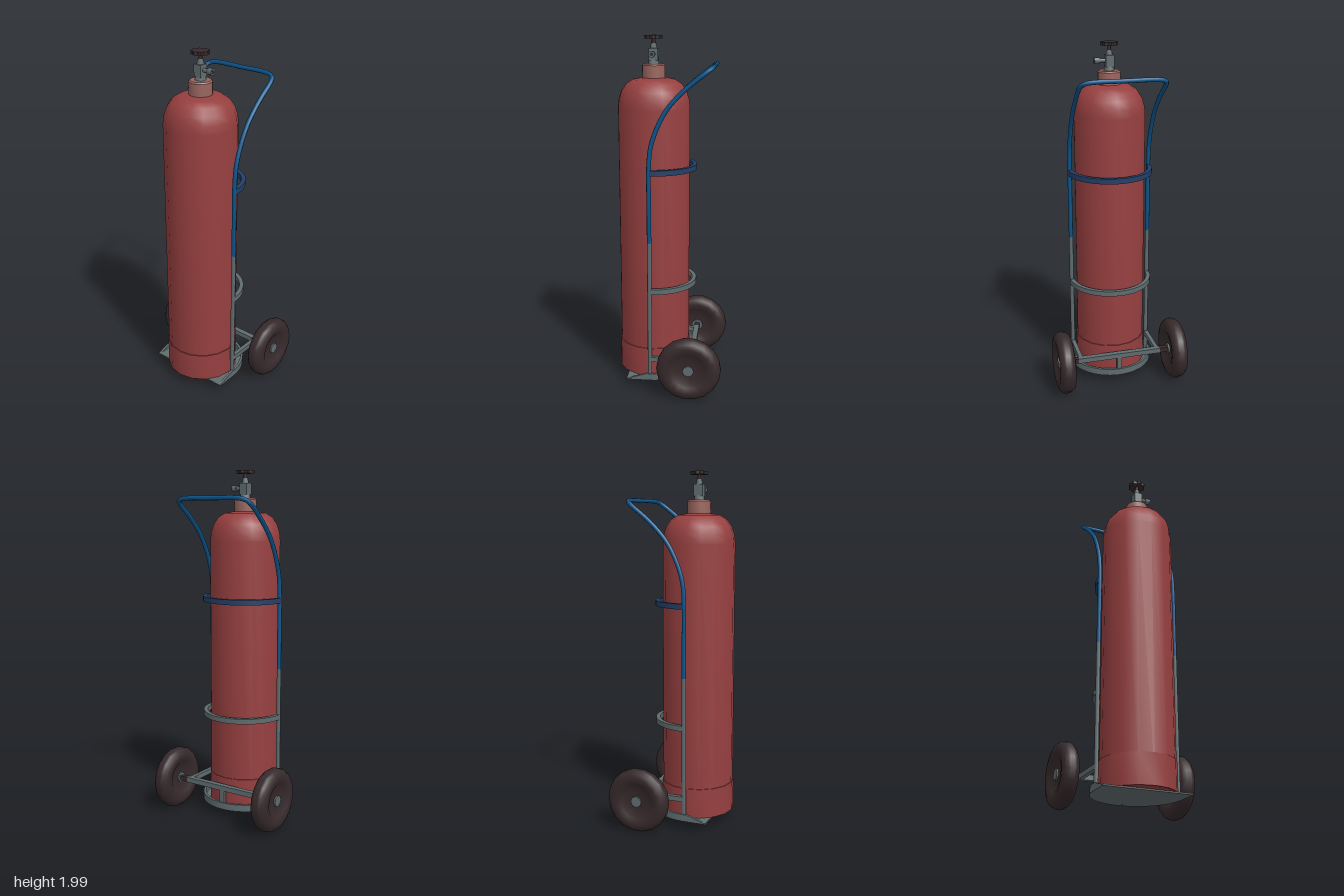
import * as THREE from 'three';
import { toCreasedNormals } from 'three/addons/utils/BufferGeometryUtils.js';

const mat = (name, color) => {
  const m = new THREE.MeshStandardMaterial({ color });
  m.name = name;
  return m;
};
const V = (x, y, z) => new THREE.Vector3(x, y, z);
const profile = (pts) => pts.map(([r, y]) => new THREE.Vector2(r, y));

export function createModel() {
  const red = mat('tank red', 0x963f3f);
  const grey = mat('frame grey', 0x606c6f);
  const blue = mat('handle blue', 0x0b5489);
  const navy = mat('band navy', 0x243f66);
  const rubber = mat('rubber dark brown', 0x36292b);
  const collarPink = mat('collar dusty pink', 0x9a665f);

  const model = new THREE.Group();
  model.name = 'gasCylinderTrolley';
  const add = (name, geometry, material, x = 0, y = 0, z = 0) => {
    const mesh = new THREE.Mesh(geometry, material);
    mesh.name = name;
    mesh.position.set(x, y, z);
    model.add(mesh);
    return mesh;
  };
  const lathe = (pts, sides, crease = 0.7) =>
    toCreasedNormals(new THREE.LatheGeometry(profile(pts), sides), crease);
  // Floor-plan shape (x, z) with its top face at y = 0
  const slab = (shape, depth) =>
    new THREE.ExtrudeGeometry(shape, { depth, bevelEnabled: false, curveSegments: 14 }).rotateX(Math.PI / 2);
  // Half ring that wraps the back of the tank
  const halfRing = (inner, outer, height) => {
    const s = new THREE.Shape();
    s.absarc(0, 0, outer, 0, -Math.PI, true);
    s.absarc(0, 0, inner, -Math.PI, 0, false);
    return toCreasedNormals(slab(s, height), 0.6);
  };

  const cz = 0.1; // tank axis

  // Tank with domed shoulder, foot sleeve and neck collar
  add('tank', lathe([
    [0, 0.07], [0.203, 0.07], [0.203, 1.61], [0.198, 1.655], [0.183, 1.7],
    [0.157, 1.738], [0.12, 1.762], [0.075, 1.77], [0, 1.772],
  ], 16), red, 0, 0, cz);
  add('footSleeve', lathe([[0.2, 0.068], [0.208, 0.068], [0.208, 0.237], [0.2, 0.237]], 16), red, 0, 0, cz);
  add('neckCollar', lathe([[0.064, 1.755], [0.064, 1.838], [0.057, 1.846], [0, 1.846]], 16), collarPink, 0, 0, cz);

  // Valve body, side outlet and lobed handwheel
  add('valveBase', new THREE.CylinderGeometry(0.026, 0.032, 0.03, 8), grey, 0, 1.857, cz);
  add('valveBody', new THREE.BoxGeometry(0.046, 0.065, 0.052), grey, 0, 1.897, cz);
  add('valveNeck', new THREE.CylinderGeometry(0.015, 0.02, 0.03, 8), grey, 0, 1.942, cz);
  add('valveStem', new THREE.CylinderGeometry(0.01, 0.01, 0.035, 8), rubber, 0, 1.968, cz);
  add('outletPipe', new THREE.CylinderGeometry(0.011, 0.011, 0.04, 10).rotateZ(-Math.PI / 2), grey, 0.04, 1.9, cz);
  add('outletNut', new THREE.CylinderGeometry(0.018, 0.018, 0.03, 10).rotateZ(-Math.PI / 2), grey, 0.07, 1.9, cz);
  add('outletOpening', new THREE.CylinderGeometry(0.01, 0.01, 0.002, 10).rotateZ(-Math.PI / 2), rubber, 0.0855, 1.9, cz);
  const lobes = new THREE.Shape();
  for (let i = 0; i < 32; i++) {
    const a = (i / 32) * Math.PI * 2;
    const r = 0.047 + 0.004 * Math.cos(8 * a);
    lobes[i ? 'lineTo' : 'moveTo'](r * Math.cos(a), r * Math.sin(a));
  }
  add('handwheel', slab(lobes, 0.018), rubber, 0, 2, cz);

  // Blue push handle: one bent tube, mirrored across x
  const hx = 0.234;
  const side = [
    [0.88, 0.1], [1.1, 0.1], [1.3, 0.1], [1.42, 0.088], [1.53, 0.05],
    [1.62, 0], [1.69, -0.06], [1.75, -0.125], [1.805, -0.195],
  ];
  const path = [
    ...side.map(([y, z]) => V(-hx, y, z)),
    V(-hx + 0.012, 1.83, -0.228), V(-hx + 0.045, 1.84, -0.24),
    V(0, 1.842, -0.243),
    V(hx - 0.045, 1.84, -0.24), V(hx - 0.012, 1.83, -0.228),
    ...side.map(([y, z]) => V(hx, y, z)).reverse(),
  ];
  add('pushHandle', new THREE.TubeGeometry(new THREE.CatmullRomCurve3(path), 90, 0.0125, 8), blue);

  // Bands around the back of the tank
  add('upperBand', halfRing(0.221, 0.245, 0.03), navy, 0, 1.291, cz);
  add('lowerBand', halfRing(0.221, 0.245, 0.03), grey, 0, 0.612, cz);

  // Toe plate with rounded back and raised rim
  const plate = new THREE.Shape();
  plate.moveTo(0.25, 0.235);
  plate.lineTo(0.25, cz);
  plate.absarc(0, cz, 0.25, 0, -Math.PI, true);
  plate.lineTo(-0.25, 0.235);
  add('toePlate', slab(plate, 0.008), grey, 0, 0.068, 0);
  add('toePlateRim', halfRing(0.235, 0.25, 0.04), grey, 0, 0.1, cz);

  // Axle carrier and its centre post
  const ay = 0.187, az = -0.132;
  add('axleBeam', new THREE.BoxGeometry(0.5, 0.03, 0.032), grey, 0, ay, az);
  add('axlePost', new THREE.BoxGeometry(0.03, 0.125, 0.022), grey, 0, 0.122, az);

  // Wheel section, symmetric about its middle
  const half = [[0.03, 0.028], [0.085, 0.028], [0.1, 0.04], [0.135, 0.0475], [0.162, 0.04], [0.176, 0.024], [0.181, 0.01]];
  const section = [...half.map(([r, x]) => [r, -x]), ...half.slice().reverse()];
  const wheelGeometry = lathe(section, 18, 0.75).rotateZ(-Math.PI / 2);

  for (const s of [1, -1]) {
    const label = s > 0 ? 'left' : 'right';
    add(label + 'Upright', new THREE.CylinderGeometry(0.0125, 0.0125, 0.82, 8), grey, s * hx, 0.475, cz);
    add(label + 'AxleArm', new THREE.BoxGeometry(0.024, 0.028, 0.232), grey, s * hx, ay, -0.016);
    add(label + 'AxleStub', new THREE.BoxGeometry(0.06, 0.028, 0.03), rubber, s * 0.279, ay, az);
    add(label + 'Wheel', wheelGeometry, rubber, s * 0.3375, ay, az);
    add(label + 'Hub', new THREE.CylinderGeometry(0.032, 0.032, 0.075, 8).rotateZ(Math.PI / 2), grey, s * 0.3375, ay, az);

    // Sloped gusset on the toe plate edge
    const gusset = new THREE.Shape(profile([[-0.235, 0.064], [-cz, 0.064], [-cz, 0.1], [-0.12, 0.1]]));
    const g = new THREE.ExtrudeGeometry(gusset, { depth: 0.015, bevelEnabled: false });
    g.rotateY(Math.PI / 2).translate(s * 0.2425 - 0.0075, 0, 0);
    add(label + 'Gusset', g, grey);
  }
  return model;
}
